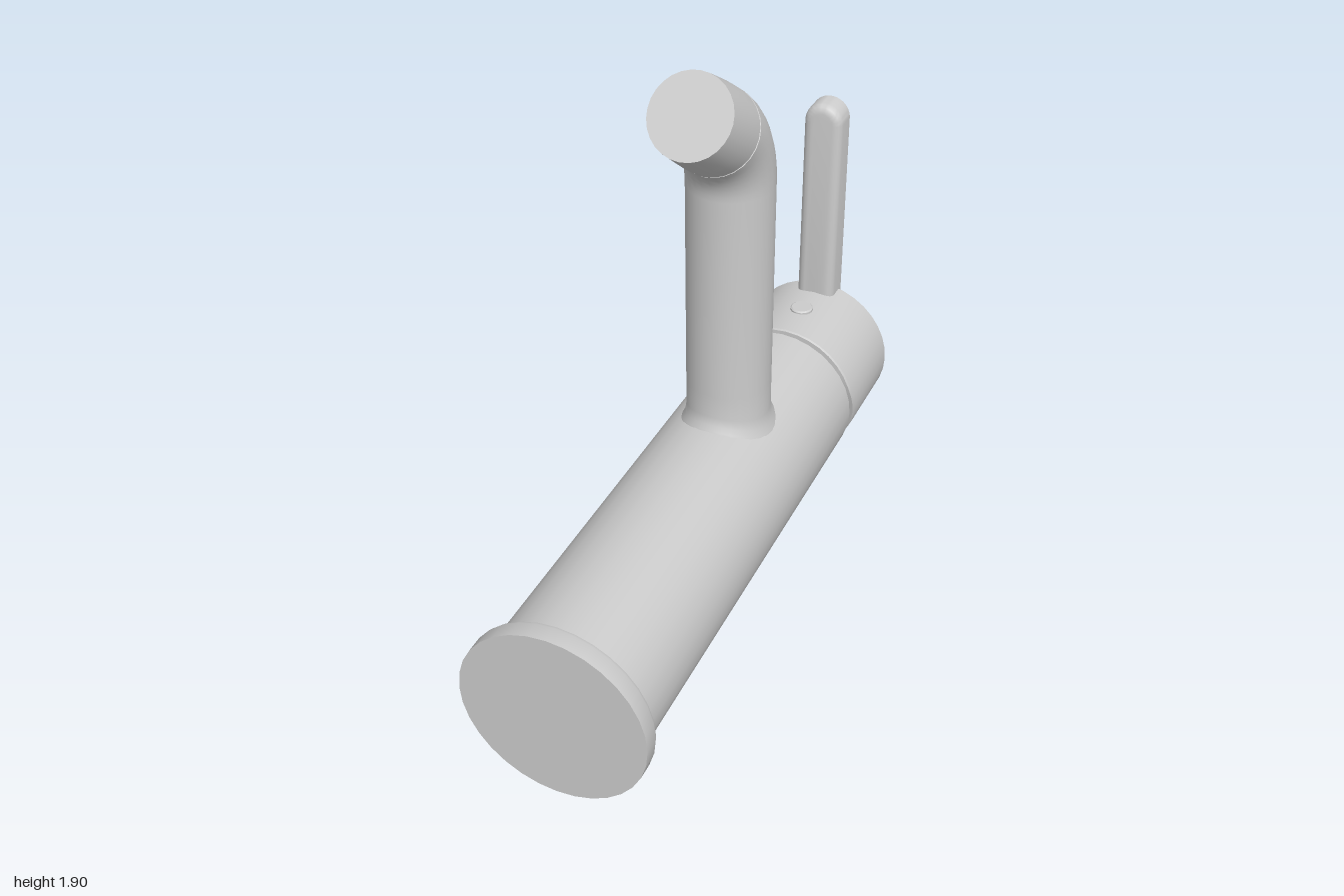
import * as THREE from 'three';
import { toCreasedNormals } from 'three/addons/utils/BufferGeometryUtils.js';

const AXIS_Y = 0.43;
const BODY_R = 0.25;

// Moves every vertex by a rule
function reshape(geometry, rule) {
  const p = geometry.attributes.position;
  const v = new THREE.Vector3();
  for (let i = 0; i < p.count; i++) {
    rule(v.fromBufferAttribute(p, i));
    p.setXYZ(i, v.x, v.y, v.z);
  }
  return geometry;
}

// Turned profile of [radius, height] points, bottom to top
function turned(points, sides = 32) {
  return new THREE.LatheGeometry(points.map(([r, h]) => new THREE.Vector2(r, h)), sides);
}

// Turned profile lying along z
function turnedZ(points, sides) {
  return turned(points, sides).rotateX(Math.PI / 2);
}

export function createModel() {
  const model = new THREE.Group();
  const metal = new THREE.MeshStandardMaterial({ color: 0xcccccc });
  metal.name = 'satin metal';

  function add(name, geometry, y = 0, z = 0) {
    const mesh = new THREE.Mesh(toCreasedNormals(geometry, 0.55), metal);
    mesh.name = name;
    mesh.position.set(0, y, z);
    model.add(mesh);
    return mesh;
  }

  // Horizontal body, end flange and recessed neck
  add('body', turnedZ([[0, -0.625], [0.246, -0.625], [BODY_R, -0.62], [BODY_R, 0.945], [0, 0.945]]), AXIS_Y);
  add('flange', turnedZ([[0, 0.935], [0.272, 0.935], [0.281, 0.94], [0.285, 0.95], [0.285, 1], [0, 1]]), AXIS_Y);
  add('neck', turnedZ([[0, -0.8], [0.19, -0.8], [0.225, -0.62], [0, -0.62]]), AXIS_Y);

  // Control cap, its front rim slanting back towards the underside
  const cap = turnedZ([[0, -0.983], [0.246, -0.983], [BODY_R, -0.979], [BODY_R, -0.65], [0.245, -0.646], [0.18, -0.646]], 36);
  add('controlCap', reshape(cap, (v) => {
    if (v.z > -0.7) v.z -= Math.max(0, 0.07 - v.y) * 0.27;
  }), AXIS_Y);
  add('indicator', turned([[0.038, -0.01], [0.038, 0.006], [0.033, 0.01], [0, 0.01]], 20), 0.678, -0.795);

  // Upright lever: rounded bar with a flat back and softened front
  const w = 0.065, low = 0.43, high = 1.38;
  const bar = new THREE.Shape();
  bar.absarc(0, high - w, w, 0, Math.PI);
  bar.absarc(0, low + w, w, Math.PI, Math.PI * 2);
  bar.closePath();
  const lever = new THREE.ExtrudeGeometry(bar, {
    depth: 0.065, bevelThickness: 0.028, bevelSize: 0.028, bevelOffset: -0.028, bevelSegments: 4, curveSegments: 12,
  });
  add('lever', reshape(lever, (v) => {
    v.z = Math.max(v.z, 0);
    if (v.z > 0.06) v.z -= 0.01 * Math.max(0, v.y - 0.7);
  }), 0, -1);

  // Spout: a turned tube seated on the body, then bent forwards
  const bendY = 1.47, bendR = 0.258, bendAngle = 0.96;
  const seam = bendY + bendR * bendAngle;
  const profile = [[0.155, 0.66], [0.146, 0.684], [0.136, 0.698], [0.131, 0.725], [0.131, 0.8]];
  for (let i = 0; i <= 7; i++) profile.push([0.131, bendY + (seam - bendY) * i / 7]);
  profile.push([0.124, seam + 0.001], [0.124, seam + 0.006], [0.131, seam + 0.007],
    [0.13, seam + 0.08], [0.123, seam + 0.2], [0, seam + 0.2]);
  add('spout', reshape(turned(profile, 28), (v) => {
    const s = v.y;
    if (s < 0.79) {
      const follow = THREE.MathUtils.clamp((0.79 - s) / 0.09, 0, 1);
      v.y += (Math.sqrt(BODY_R ** 2 - v.x ** 2) - BODY_R) * follow;
    } else if (s > bendY - 0.001) {
      const a = Math.min((s - bendY) / bendR, bendAngle);
      const extra = Math.max(0, s - seam);
      const across = v.z;
      v.y = bendY + bendR * Math.sin(a) + extra * Math.cos(a) - across * Math.sin(a);
      v.z = bendR * (1 - Math.cos(a)) + extra * Math.sin(a) + across * Math.cos(a);
    }
  }), 0, -0.175);

  // Small control under the body: tapered stem and paddle
  const stem = turnedZ([[0.088, -0.025], [0.082, 0], [0.077, 0.02], [0.073, 0.06], [0.062, 0.212], [0.058, 0.218], [0, 0.218]], 24);
  add('lowerStem', stem, 0.167, 0.362).rotation.x = -0.06;

  const outline = new THREE.Shape();
  outline.moveTo(-0.08, 0.24);
  outline.lineTo(-0.078, 0.12);
  outline.lineTo(-0.069, 0.022);
  outline.quadraticCurveTo(-0.067, 0, -0.045, 0);
  outline.lineTo(0.045, 0);
  outline.quadraticCurveTo(0.067, 0, 0.069, 0.022);
  outline.lineTo(0.078, 0.12);
  outline.lineTo(0.08, 0.24);
  outline.closePath();
  const paddle = new THREE.ExtrudeGeometry(outline, { depth: 0.04, bevelEnabled: false, curveSegments: 6 });
  add('lowerPaddle', reshape(paddle, (v) => {
    if (v.z < 0.02) v.z -= 0.12 * v.y;
  }), 0, 0.33);

  return model;
}
